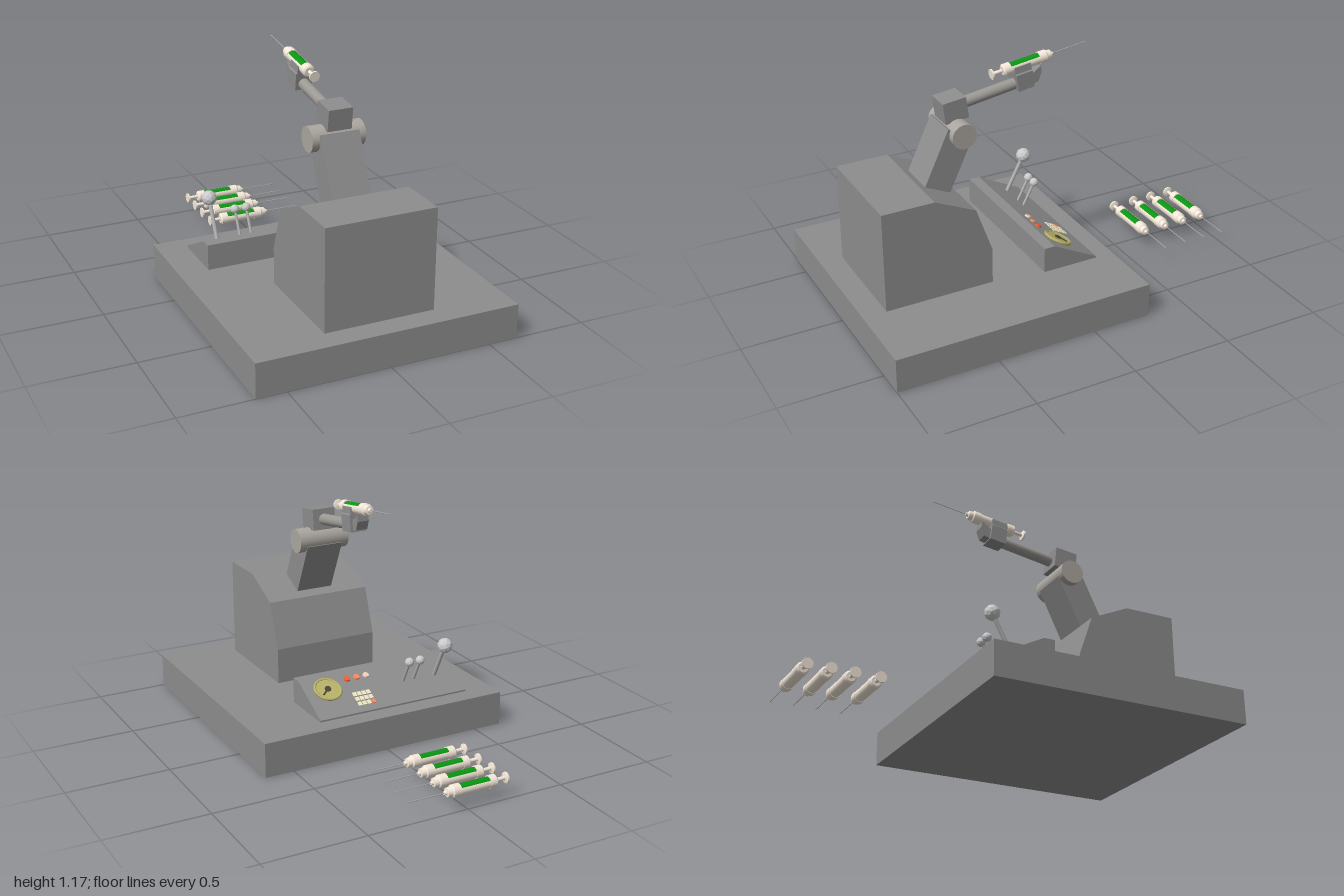
import * as THREE from 'three';

const mat = (color, extra = {}) => new THREE.MeshStandardMaterial({ color, ...extra });
const grey = mat(0x8d8d8d, { flatShading: true });
const knobGrey = mat(0xc2c2c2, { flatShading: true });
const stickGrey = mat(0xb0b0b0);
const forearmGrey = mat(0x9c9994);
const warm = mat(0xaba69f);
const ivory = mat(0xf5e9da);
const ivoryShell = mat(0xf5e9da, { side: THREE.DoubleSide });
const green = mat(0x0a9612);
const brass = mat(0xbab46a);
const dark = mat(0x4a4630);
const red = mat(0xff5a2c);
const orange = mat(0xff8a5c);
const peach = mat(0xf2d4bc);
const cream = mat(0xefe9c6);

function add(parent, name, geometry, material, x = 0, y = 0, z = 0, rx = 0) {
  const mesh = new THREE.Mesh(geometry, material);
  mesh.name = name;
  mesh.position.set(x, y, z);
  mesh.rotation.x = rx;
  parent.add(mesh);
  return mesh;
}

const box = (x, y, z) => new THREE.BoxGeometry(x, y, z);
const cyl = (r, h, n = 24, top = r) => new THREE.CylinderGeometry(top, r, h, n);
const shapeOf = pts => new THREE.Shape(pts.map(p => new THREE.Vector2(...p)));
const extrude = (shape, depth) =>
  new THREE.ExtrudeGeometry(shape, { depth, bevelEnabled: false, curveSegments: 12 }).translate(0, 0, -depth / 2);
// Side profile given as (z, y), swept across x
const sideExtrude = (pts, width) => extrude(shapeOf(pts), width).rotateY(-Math.PI / 2);
// Profile given as (radius, position along x); corners are doubled to keep steps crisp
const turned = pts => {
  const crisp = pts.flatMap((p, i) => (i && i < pts.length - 1 ? [p, p] : [p]));
  return new THREE.LatheGeometry(crisp.map(p => new THREE.Vector2(...p)), 20).rotateZ(-Math.PI / 2);
};

// Syringe lying along x, needle towards +x, window facing up
function syringe(name) {
  const g = new THREE.Group();
  g.name = name;
  add(g, 'plunger', turned([[0, -0.22], [0.026, -0.22], [0.026, -0.212], [0.009, -0.208],
    [0.009, -0.16], [0, -0.16]]), ivory);
  add(g, 'rearCollar', turned([[0, -0.162], [0.022, -0.162], [0.03, -0.155], [0.03, -0.122], [0, -0.122]]), ivory);
  add(g, 'liquid', cyl(0.025, 0.16, 20).rotateZ(Math.PI / 2), green, -0.045);
  const gap = 0.96;
  const shell = new THREE.CylinderGeometry(0.028, 0.028, 0.16, 20, 1, true,
    Math.PI * 1.5 + gap, Math.PI * 2 - gap * 2).rotateZ(-Math.PI / 2);
  add(g, 'barrel', shell, ivoryShell, -0.045);
  add(g, 'frontCollar', turned([[0, 0.03], [0.03, 0.03], [0.03, 0.068], [0.024, 0.073], [0.021, 0.094],
    [0.011, 0.096], [0.008, 0.108], [0, 0.108]]), ivory);
  add(g, 'needle', cyl(0.0022, 0.185, 6).rotateZ(-Math.PI / 2), stickGrey, 0.193);
  return g;
}

function controlPanel() {
  const g = new THREE.Group();
  g.name = 'controlPanel';
  add(g, 'console', sideExtrude([[0.085, 0.17], [0.085, 0.297], [0.03, 0.297], [-0.2, 0.178], [-0.2, 0.17]], 0.812),
    grey, -0.094);

  // Controls sit in the plane of the sloping face
  const face = new THREE.Group();
  face.name = 'controls';
  face.position.set(0, 0.297, 0.03);
  face.rotation.x = -0.478;
  g.add(face);

  // Gauge with raised rim and pointer
  add(face, 'gaugeDial', cyl(0.066, 0.012, 28), brass, 0.195, 0.003, -0.088);
  add(face, 'gaugeRim', new THREE.TorusGeometry(0.065, 0.007, 8, 32).rotateX(Math.PI / 2), brass, 0.195, 0.007, -0.088);
  add(face, 'gaugeHub', cyl(0.016, 0.01, 16), dark, 0.195, 0.009, -0.088);
  const pointer = add(face, 'gaugePointer', box(0.055, 0.004, 0.008).translate(0.022, 0, 0), dark, 0.195, 0.012, -0.088);
  pointer.rotation.y = 0.7;

  [[0.07, red], [0.017, orange], [-0.036, peach]].forEach(([x, m]) =>
    add(face, 'roundButton', cyl(0.017, 0.01, 16, 0.015), m, x, 0.003, -0.045));

  // Keypad
  for (let i = 0; i < 4; i++) for (let j = 0; j < 3; j++)
    add(face, 'key', box(0.02, 0.008, 0.024), i + j ? cream : orange, i * 0.025, 0, -0.21 + j * 0.031);

  // Levers with faceted knobs
  [[-0.39, 0.207, 0.01, 0.038], [-0.27, 0.132, 0.007, 0.023], [-0.21, 0.132, 0.007, 0.023]].forEach(([x, h, r, ball]) => {
    add(face, 'leverStick', cyl(r, h, 12), stickGrey, x, h / 2, -0.123);
    add(face, 'leverKnob', new THREE.IcosahedronGeometry(ball, 1), knobGrey, x, h, -0.123);
  });
  return g;
}

function robotArm() {
  const g = new THREE.Group();
  g.name = 'robotArm';
  add(g, 'lowerArm', box(0.192, 0.392, 0.138), grey, 0, 0.711, 0.49, -0.44);
  add(g, 'elbowJoint', cyl(0.061, 0.266, 28).rotateZ(Math.PI / 2), warm, 0, 0.882, 0.404);
  add(g, 'elbowBlock', box(0.12, 0.105, 0.118), grey, 0, 0.984, 0.411, 0.12);

  // Forearm between elbow and gripper
  add(g, 'forearm', cyl(0.028, 0.3, 20), forearmGrey, 0, 1.01, 0.22, -Math.PI / 2 + 0.15);

  // Gripper and held syringe share one tilted frame
  const hand = new THREE.Group();
  hand.name = 'gripper';
  hand.position.set(0, 1.129, -0.017);
  hand.rotation.set(0, Math.PI / 2, 0.137);
  g.add(hand);

  const cradle = shapeOf([[-0.03, 0.008], [-0.034, 0.008], [-0.037, -0.024], [-0.043, -0.03], [-0.043, -0.112],
    [0.043, -0.112], [0.043, -0.03], [0.037, -0.024], [0.034, 0.008], [0.03, 0.008], [0.03, 0]]);
  cradle.absarc(0, 0, 0.03, 0, -Math.PI, true);
  add(hand, 'cradle', extrude(cradle, 0.085).rotateY(Math.PI / 2), grey, -0.069);
  add(hand, 'frontClaw', extrude(shapeOf([[-0.03, -0.105], [0.003, -0.1], [0.025, -0.058],
    [0.025, -0.026], [-0.015, -0.048], [-0.03, -0.05]]), 0.06), grey);
  hand.add(syringe('heldSyringe'));
  return g;
}

export function createModel() {
  const model = new THREE.Group();
  model.name = 'syringeRobotStation';
  add(model, 'basePlate', box(1.29, 0.17, 1.295), grey, 0, 0.085, 0.3525);
  add(model, 'pedestal', sideExtrude([[0.885, 0.17], [0.885, 0.668], [0.625, 0.668], [0.422, 0.575],
    [0.342, 0.35], [0.342, 0.17]], 0.544), grey);
  model.add(controlPanel(), robotArm());

  // Row of spare syringes
  [-0.63, -0.75, -0.86, -0.97].forEach(z => {
    const s = syringe('spareSyringe');
    s.position.set(0, 0.09, z);
    model.add(s);
  });
  return model;
}
